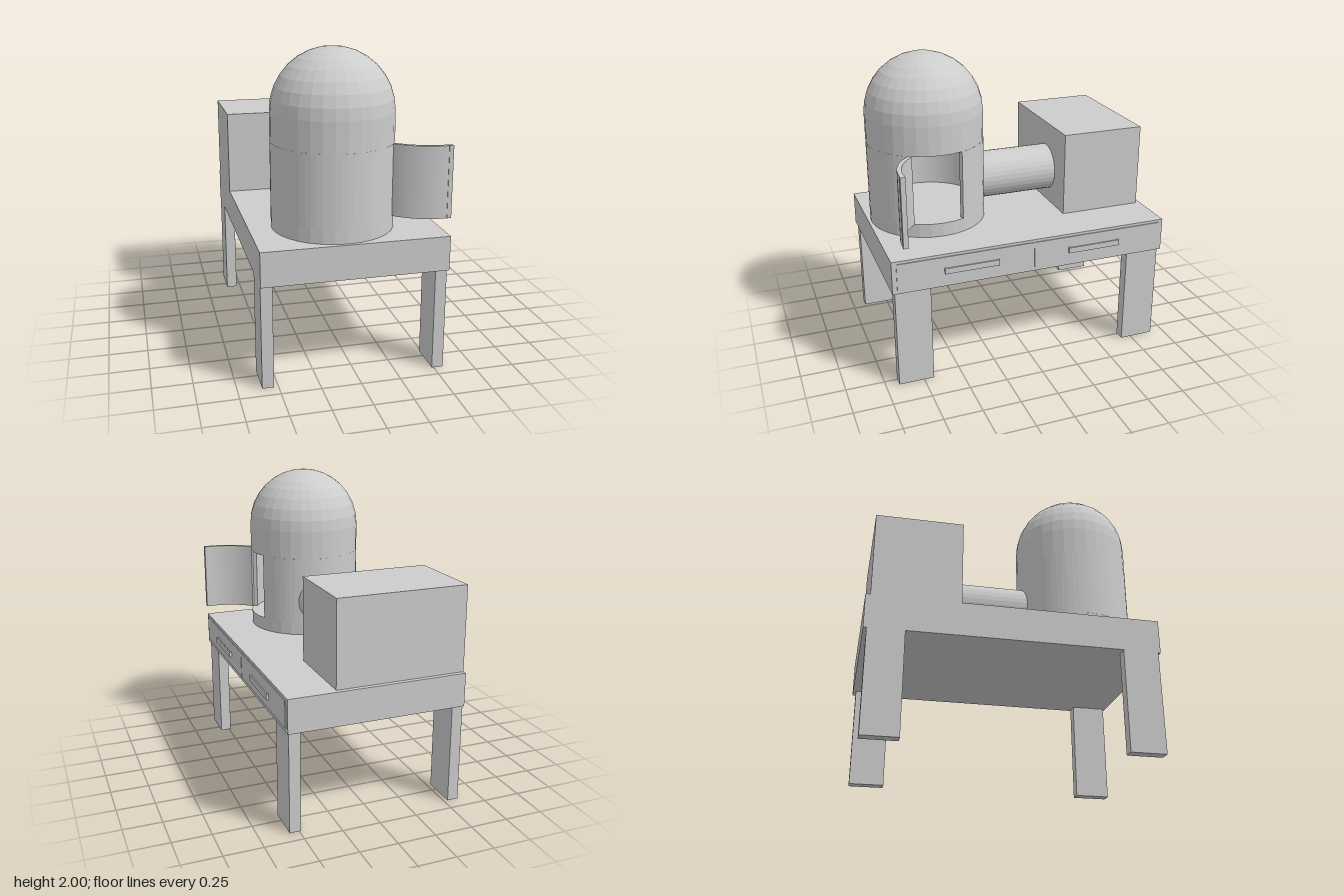
import * as THREE from 'three';

const rad = THREE.MathUtils.degToRad;

export function createModel() {
  const model = new THREE.Group();
  const grey = new THREE.MeshStandardMaterial({ color: 0xcccccc, flatShading: true });
  grey.name = 'plain grey';

  function add(name, geometry, parent = model) {
    const mesh = new THREE.Mesh(geometry, grey);
    mesh.name = name;
    parent.add(mesh);
    return mesh;
  }

  // Box given by its limits on each axis
  function box(name, [x0, x1], [y0, y1], [z0, z1], parent) {
    const mesh = add(name, new THREE.BoxGeometry(x1 - x0, y1 - y0, z1 - z0), parent);
    mesh.position.set((x0 + x1) / 2, (y0 + y1) / 2, (z0 + z1) / 2);
    return mesh;
  }

  // Upright curved wall; angles run from +x towards +z, in degrees
  function curvedWall(name, cx, cz, rIn, rOut, from, to, y0, y1, segments, parent) {
    const shape = new THREE.Shape();
    shape.absarc(0, 0, rOut, rad(from), rad(to), false);
    shape.absarc(0, 0, rIn, rad(to), rad(from), true);
    const geometry = new THREE.ExtrudeGeometry(shape, {
      depth: y1 - y0, bevelEnabled: false, curveSegments: segments,
    });
    geometry.rotateX(Math.PI / 2);
    const mesh = add(name, geometry, parent);
    mesh.position.set(cx, y1, cz);
  }

  // Table
  box('tableTop', [-0.6, 0.572], [0.66, 0.88], [-0.93, 0.93]);
  for (const x of [-0.6, 0.488]) {
    for (const z of [-0.91, 0.685]) {
      box('tableLeg', [x, x + 0.073], [0, 0.66], [z, z + 0.23]);
    }
  }

  // Two drawers with bar handles on the left side
  for (const s of [1, -1]) {
    const drawer = new THREE.Group();
    drawer.name = 'drawer';
    model.add(drawer);
    const span = (a, b) => [Math.min(s * a, s * b), Math.max(s * a, s * b)];
    box('drawerFront', [0.57, 0.578], [0.688, 0.862], span(0.004, 0.9), drawer);
    box('handleBar', [0.585, 0.594], [0.752, 0.79], span(0.24, 0.598), drawer);
    for (const z of [0.24, 0.585]) {
      box('handlePost', [0.575, 0.587], [0.752, 0.79], span(z, z + 0.013), drawer);
    }
  }

  // Rear housing and connecting pipe
  box('rearHousing', [-0.6, 0.258], [0.88, 1.44], [-0.9, -0.342]);
  const pipe = add('pipe', new THREE.CylinderGeometry(0.157, 0.157, 0.528, 32));
  pipe.rotation.x = Math.PI / 2;
  pipe.position.set(-0.058, 1.122, -0.087);

  // Domed chamber: solid base, open-sided wall, solid cap
  const cx = -0.068, cz = 0.525, r = 0.386, low = 0.97, high = 1.426, spring = 1.614;
  const chamber = new THREE.Group();
  chamber.name = 'chamber';
  model.add(chamber);
  for (const [name, y0, y1] of [['chamberBase', 0.88, low], ['chamberTop', high, spring]]) {
    const mesh = add(name, new THREE.CylinderGeometry(r, r, y1 - y0, 32), chamber);
    mesh.position.set(cx, (y0 + y1) / 2, cz);
  }
  curvedWall('chamberWall', cx, cz, r - 0.03, r, 30, 338, low, high, 28, chamber);
  const dome = add('dome',
    new THREE.SphereGeometry(r, 32, 8, 0, Math.PI * 2, 0, Math.PI / 2), chamber);
  dome.position.set(cx, spring, cz);

  // Curved door swung open, with a lip on its free edge
  const door = new THREE.Group();
  door.name = 'door';
  model.add(door);
  curvedWall('doorPanel', 0.55, 0.458, 0.365, 0.393, 86, 138, low, high, 8, door);
  box('doorLip', [0.572, 0.6], [low, high], [0.822, 0.854], door);

  return model;
}
